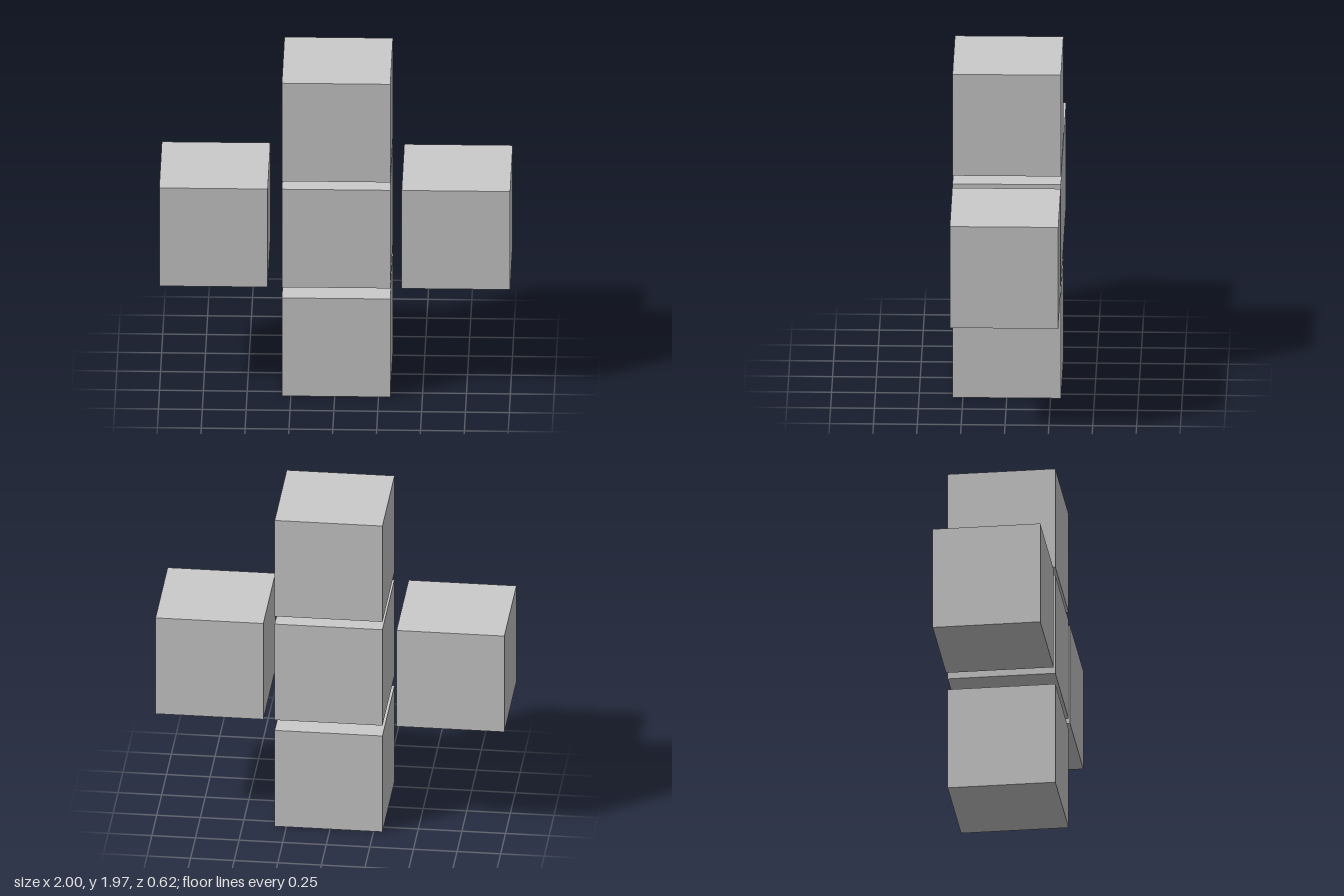
import * as THREE from 'three';

export function createModel() {
  const model = new THREE.Group();
  model.name = 'cubeCross';

  // Five equal cubes set in an upright cross with narrow gaps
  const size = 0.618;
  const geometry = new THREE.BoxGeometry(size, size, size);
  const material = new THREE.MeshStandardMaterial({ color: 0xcccccc, flatShading: true });

  const cubes = [
    ['bottomCube', 0.008, size / 2],
    ['centerCube', 0.008, 0.994],
    ['topCube', 0.008, 1.662],
    ['leftCube', 1 - size / 2, 0.994],
    ['rightCube', -1 + size / 2, 0.994],
  ];
  for (const [name, x, y] of cubes) {
    const cube = new THREE.Mesh(geometry, material);
    cube.name = name;
    cube.position.set(x, y, 0);
    model.add(cube);
  }
  return model;
}
